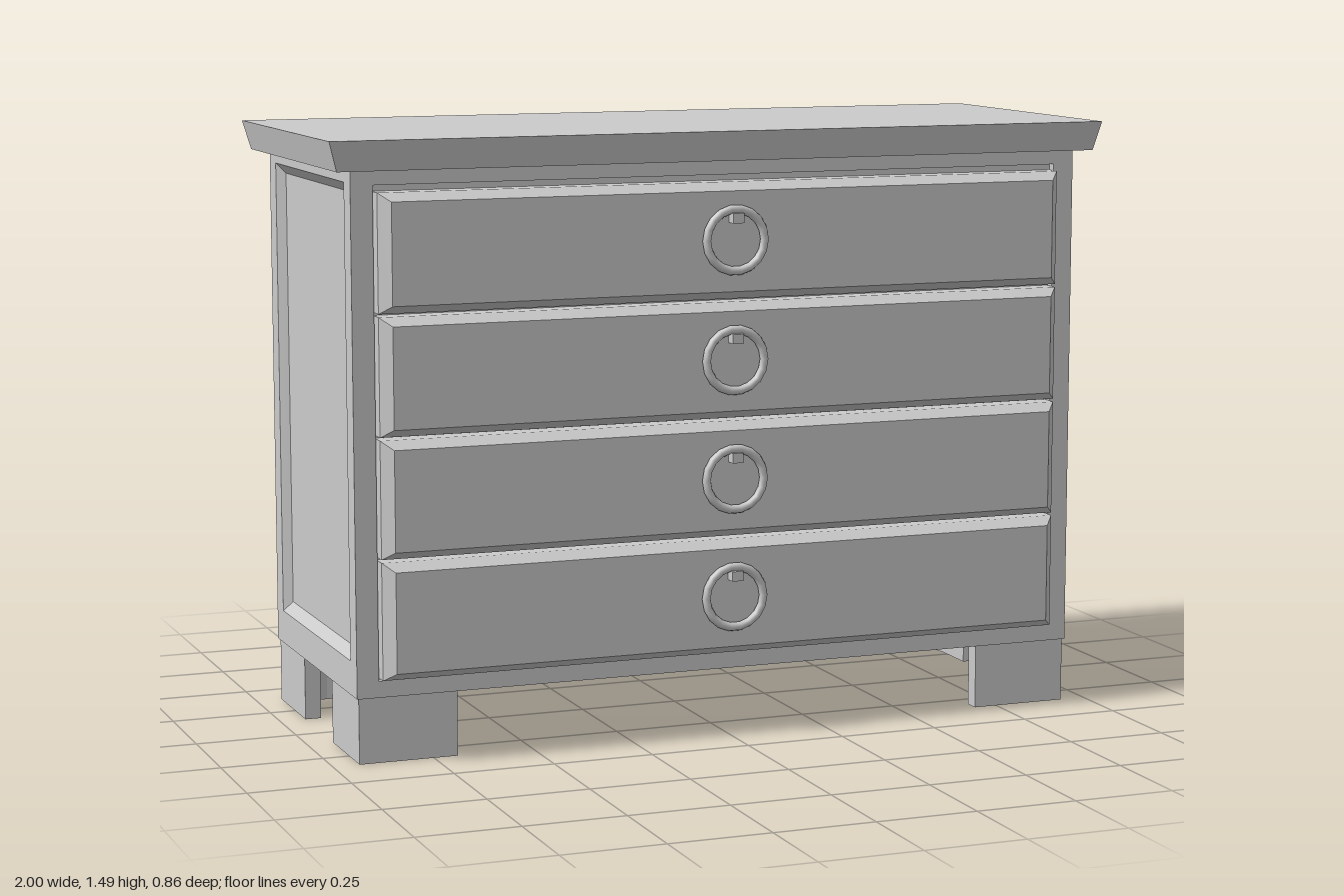
import * as THREE from 'three';

const material = new THREE.MeshStandardMaterial({ color: 0xcccccc, flatShading: true });
const smooth = new THREE.MeshStandardMaterial({ color: 0xcccccc });

// Skin over successive rectangles [x0, x1, y0, y1, z], capped at both ends.
// Growing z makes walls and bevels; a smaller rectangle at lower z makes a recess.
function loft(rects) {
  const loops = rects.map(([x0, x1, y0, y1, z]) => [[x0, y0, z], [x1, y0, z], [x1, y1, z], [x0, y1, z]]);
  const pos = [];
  const quad = (a, b, c, d) => pos.push(...a, ...b, ...c, ...a, ...c, ...d);
  for (let i = 0; i + 1 < loops.length; i++) {
    const a = loops[i], b = loops[i + 1];
    for (let k = 0; k < 4; k++) quad(a[k], a[(k + 1) % 4], b[(k + 1) % 4], b[k]);
  }
  quad(...loops[loops.length - 1]);
  quad(...[...loops[0]].reverse());
  const g = new THREE.BufferGeometry();
  g.setAttribute('position', new THREE.Float32BufferAttribute(pos, 3));
  g.computeVertexNormals();
  return g;
}

function add(parent, name, geometry, mat = material) {
  const mesh = new THREE.Mesh(geometry, mat);
  mesh.name = name;
  parent.add(mesh);
  return mesh;
}

export function createModel() {
  const model = new THREE.Group();
  model.name = 'chestOfDrawers';

  // Top slab, flaring slightly upwards
  const top = add(model, 'top', loft([
    [-0.98, 0.98, -0.375, 0.42, 1.415],
    [-1, 1, -0.385, 0.43, 1.487],
  ]));
  top.rotation.x = -Math.PI / 2;

  // Carcass core
  const core = add(model, 'carcass', new THREE.BoxGeometry(1.83, 1.255, 0.7));
  core.position.set(0, 0.7875, -0.04);

  // Front frame with a shallow recess for the drawers
  add(model, 'frontFrame', loft([
    [-0.915, 0.915, 0.16, 1.415, 0.3],
    [-0.915, 0.915, 0.16, 1.415, 0.345],
    [-0.886, 0.886, 0.2, 1.38, 0.345],
    [-0.886, 0.886, 0.2, 1.38, 0.325],
  ]));

  // Side panels with bevelled recess
  for (const s of [1, -1]) {
    const side = new THREE.Group();
    side.name = s > 0 ? 'leftSide' : 'rightSide';
    side.scale.x = s;
    add(side, 'sidePanel', loft([
      [-0.345, 0.39, 0.16, 1.415, 0.9],
      [-0.345, 0.39, 0.16, 1.415, 0.94],
      [-0.29, 0.333, 0.243, 1.385, 0.94],
      [-0.272, 0.317, 0.268, 1.36, 0.918],
    ])).rotation.y = Math.PI / 2;
    model.add(side);
  }

  // Four bevelled drawers with ring pulls
  const drawerGeo = loft([
    [-0.883, 0.883, -0.142, 0.142, 0.31],
    [-0.883, 0.883, -0.142, 0.142, 0.37],
    [-0.857, 0.857, -0.122, 0.122, 0.4],
  ]);
  const ringGeo = new THREE.TorusGeometry(0.075, 0.011, 8, 18);
  const pegGeo = new THREE.BoxGeometry(0.028, 0.024, 0.035);
  for (let i = 0; i < 4; i++) {
    const drawer = new THREE.Group();
    drawer.name = 'drawer' + (i + 1);
    drawer.position.y = 0.348 + i * 0.2915;
    add(drawer, 'drawerFront', drawerGeo);
    add(drawer, 'ringPull', ringGeo, smooth).position.set(0, 0.004, 0.41);
    add(drawer, 'pullPeg', pegGeo).position.set(0, 0.058, 0.412);
    model.add(drawer);
  }

  // L-shaped bracket feet with rounded inner corner, drawn from the outer corner inwards
  const t = 0.04, r = 0.07;
  const plan = new THREE.Shape();
  plan.moveTo(0, 0);
  plan.lineTo(0, -0.235);
  plan.lineTo(-t, -0.235);
  plan.lineTo(-t, -t - r);
  plan.quadraticCurveTo(-t, -t, -t - r, -t);
  plan.lineTo(-0.245, -t);
  plan.lineTo(-0.245, 0);
  plan.closePath();
  const footGeo = new THREE.ExtrudeGeometry(plan, { depth: 0.16, bevelEnabled: false, curveSegments: 4 });
  footGeo.rotateX(Math.PI / 2).translate(0, 0.16, 0);
  for (const sx of [1, -1]) {
    for (const sz of [1, -1]) {
      const foot = add(model, (sz > 0 ? 'front' : 'back') + (sx > 0 ? 'Left' : 'Right') + 'Foot', footGeo);
      foot.position.set(sx * 0.935, 0, sz > 0 ? 0.34 : -0.385);
      foot.scale.set(sx, 1, sz);
    }
  }
  return model;
}
